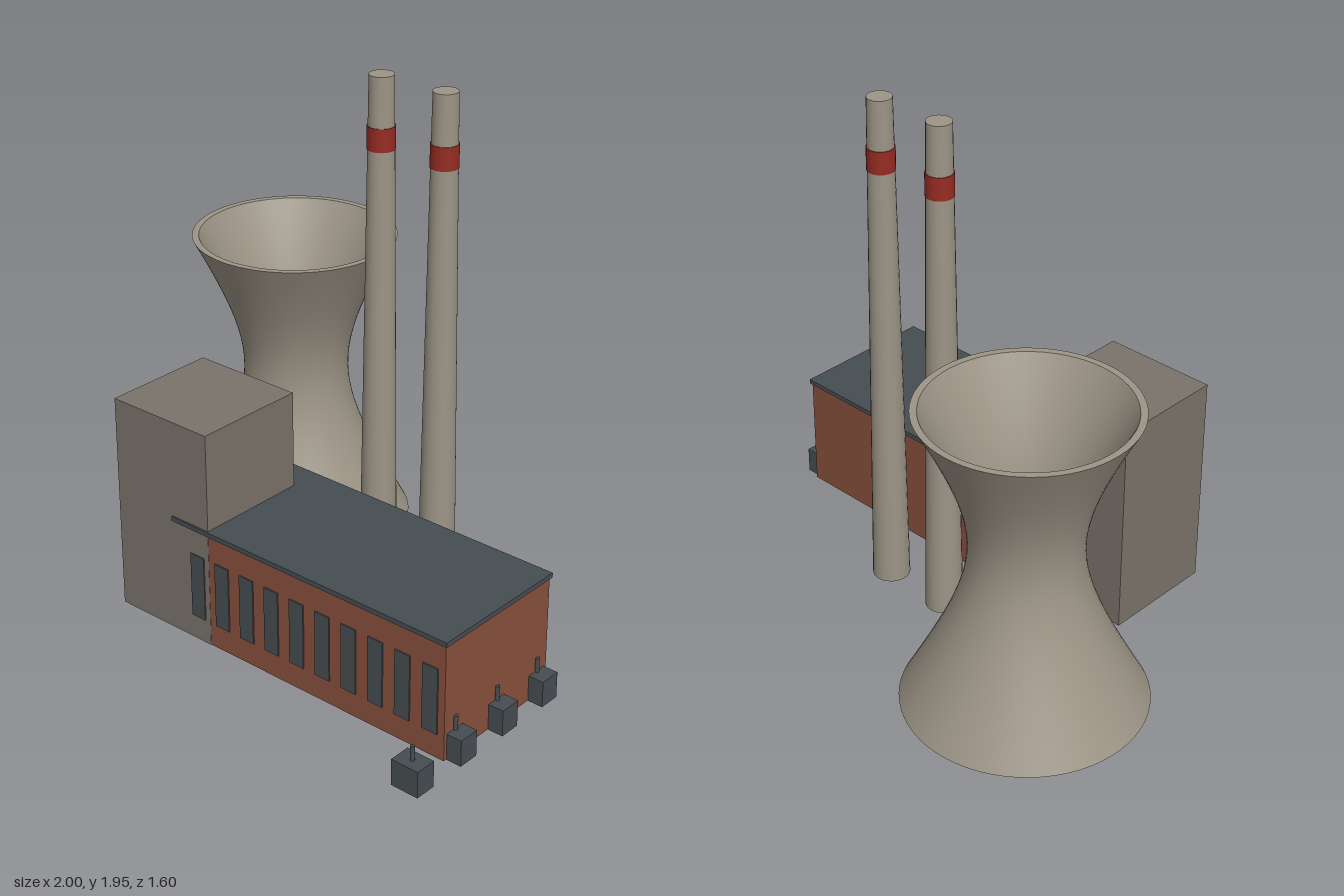
import * as THREE from 'three';

const mat = (name, color) => {
  const m = new THREE.MeshStandardMaterial({ color });
  m.name = name;
  return m;
};

export function createModel() {
  const root = new THREE.Group();
  root.name = 'powerStation';

  const concrete = mat('concrete', 0x9c9486);
  const annexGrey = mat('annexGrey', 0x7a736a);
  const brick = mat('brick', 0x88503d);
  const slate = mat('slate', 0x464d52);
  const red = mat('bandRed', 0x962c22);

  const add = (name, geometry, material, x, y, z, parent = root) => {
    const mesh = new THREE.Mesh(geometry, material);
    mesh.name = name;
    mesh.position.set(x, y, z);
    parent.add(mesh);
    return mesh;
  };
  // Box given by its min and max corners
  const box = (name, material, [x0, y0, z0], [x1, y1, z1], parent = root) =>
    add(name, new THREE.BoxGeometry(x1 - x0, y1 - y0, z1 - z0), material,
      (x0 + x1) / 2, (y0 + y1) / 2, (z0 + z1) / 2, parent);

  // Cooling tower: hollow hyperbolic shell, open at both ends
  const height = 1.17, waist = 0.2, waistY = 0.636, c = 0.3246, steps = 28;
  const outer = [], inner = [];
  for (let i = 0; i <= steps; i++) {
    const y = (height * i) / steps;
    const r = waist * Math.hypot(1, (y - waistY) / c);
    outer.push(new THREE.Vector2(r, y));
    inner.unshift(new THREE.Vector2(r * 0.935, y));
  }
  const tower = new THREE.Group();
  tower.name = 'coolingTower';
  tower.position.set(-0.56, 0, -0.358);
  root.add(tower);
  const shell = (name, pts) => add(name, new THREE.LatheGeometry(pts, 64), concrete, 0, 0, 0, tower);
  shell('towerOuterWall', outer);
  shell('towerInnerWall', inner);
  shell('towerTopRim', [outer[steps], inner[0]]);
  shell('towerBottomRim', [inner[steps], outer[0]]);

  // Two tapered chimneys with a painted band
  for (const x of [0, 0.278]) {
    const chimney = new THREE.Group();
    chimney.name = 'chimney';
    chimney.position.set(x, 0, -0.19);
    root.add(chimney);
    add('chimneyStack', new THREE.CylinderGeometry(0.045, 0.07, 1.95, 24), concrete, 0, 0.975, 0, chimney);
    add('chimneyBand', new THREE.CylinderGeometry(0.0505, 0.0505, 0.085, 24), red, 0, 1.725, 0, chimney);
  }

  // Turbine hall with an overhanging flat roof
  box('hallWalls', brick, [-0.28, 0.001, 0.035], [0.94, 0.446, 0.59]);
  box('hallRoof', slate, [-0.288, 0.444, 0.028], [0.947, 0.462, 0.597]);

  // Taller boiler block, overlapping the hall's end
  box('boilerBlock', annexGrey, [-0.558, 0, 0.148], [-0.115, 0.834, 0.591]);

  // Row of tall windows along the front
  for (let i = 0; i < 10; i++) {
    const x = -0.169 + i * 0.1165;
    box('hallWindow', slate, [x - 0.032, 0.094, 0.587], [x + 0.032, 0.346, 0.595]);
  }

  // Transformers in a line, each with an insulator pin
  for (let i = 0; i < 4; i++) {
    const z = 0.09 + i * 0.2225;
    box('transformer', slate, [0.89, 0, z - 0.041], [1, 0.1, z + 0.041]);
    add('insulatorPin', new THREE.CylinderGeometry(0.008, 0.008, 0.056, 10), slate, 0.944, 0.127, z);
  }

  return root;
}
